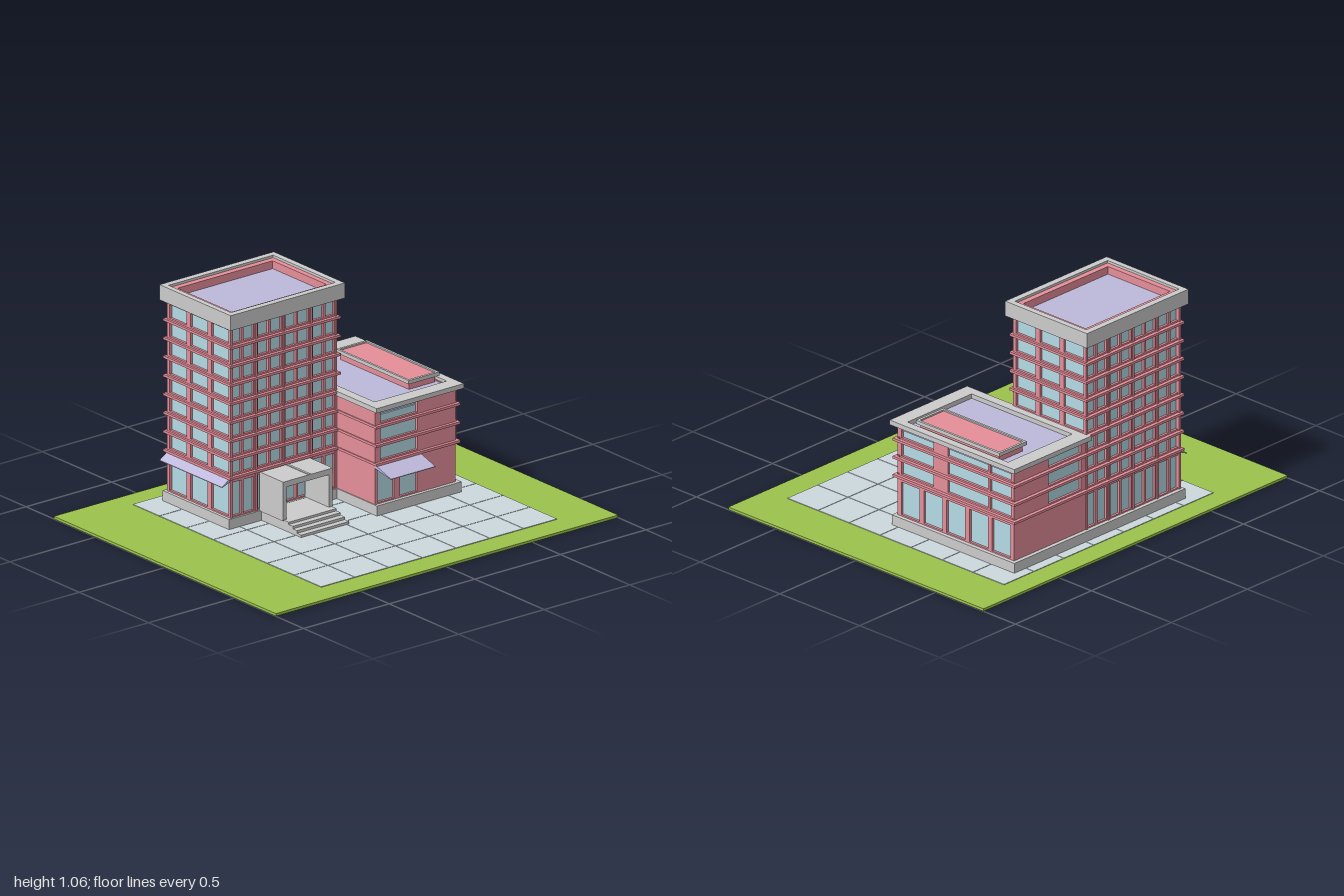
import * as THREE from 'three';

const mat = (color) => new THREE.MeshStandardMaterial({ color });
const PINK = mat(0xe58e99), GLASS = mat(0xb5dbe6), GREY = mat(0xcccccc);
const LILAC = mat(0xbdb8da), GREEN = mat(0x9bc24c), PAVE = mat(0xccd8dd);

const FLOOR = 0.0905, LEDGE0 = 0.262, BASE = 0.062, GROUND = 0.013;

function add(parent, name, geometry, material) {
  const mesh = new THREE.Mesh(geometry, material);
  mesh.name = name;
  parent.add(mesh);
  return mesh;
}

// Box given by its extents on each axis
function box(parent, name, [x0, x1], [y0, y1], [z0, z1], material) {
  const mesh = add(parent, name, new THREE.BoxGeometry(x1 - x0, y1 - y0, z1 - z0), material);
  mesh.position.set((x0 + x1) / 2, (y0 + y1) / 2, (z0 + z1) / 2);
  return mesh;
}

function rectPath(PathType, x0, x1, y0, y1) {
  return new PathType([[x0, y0], [x1, y0], [x1, y1], [x0, y1]].map(([x, y]) => new THREE.Vector2(x, y)));
}

// Rectangular ring lying flat: outer and inner extents, bottom and top height
function ring(parent, name, xo, zo, xi, zi, [y0, y1], material) {
  const shape = rectPath(THREE.Shape, xo[0], xo[1], -zo[1], -zo[0]);
  shape.holes.push(rectPath(THREE.Path, xi[0], xi[1], -zi[1], -zi[0]));
  const geometry = new THREE.ExtrudeGeometry(shape, { depth: y1 - y0, bevelEnabled: false });
  geometry.rotateX(-Math.PI / 2).translate(0, y0, 0);
  return add(parent, name, geometry, material);
}

// Wall with window openings [u0, u1, y0, y1]; u runs rightward seen from outside
function facade(parent, name, width, y0, y1, openings, angle, cx, cz, reach) {
  const depth = 0.014;
  const shape = rectPath(THREE.Shape, -width / 2, width / 2, y0, y1);
  for (const o of openings) shape.holes.push(rectPath(THREE.Path, ...o));
  const geometry = new THREE.ExtrudeGeometry(shape, { depth, bevelEnabled: false });
  geometry.translate(0, 0, reach - depth).rotateY(angle).translate(cx, 0, cz);
  return add(parent, name, geometry, PINK);
}

// Openings for every upper storey from columns of [centre, width]
function storeys(count, columns, first = 0) {
  const list = [];
  for (let i = first; i < count; i++) {
    const y = LEDGE0 + FLOOR * i;
    for (const [c, w] of columns) list.push([c - w / 2, c + w / 2, y + 0.013, y + 0.078]);
  }
  return list;
}

const tall = (columns, top = 0.235) => columns.map(([c, w]) => [c - w / 2, c + w / 2, 0.072, top]);

function makeGround(root) {
  const g = new THREE.Group();
  g.name = 'ground';
  root.add(g);
  box(g, 'lawn', [-0.8, 0.8], [0, GROUND], [-1, 1], GREEN);
  // Paving slabs with narrow grass joints
  const n = 7, dx = 1.36 / n, dz = 1.38 / n, gap = 0.0015;
  for (let i = 0; i < n; i++) for (let j = 0; j < n; j++) {
    const x = -0.69 + i * dx, z = -0.75 + j * dz;
    box(g, 'pavingSlab', [x + gap, x + dx - gap], [GROUND - 0.005, GROUND + 0.003], [z + gap, z + dz - gap], PAVE);
  }
}

function makeTower(root) {
  const g = new THREE.Group();
  g.name = 'tower';
  root.add(g);
  const cx = -0.395, cz = 0.17, hx = 0.225, hz = 0.31, top = 0.995;
  box(g, 'towerPlinth', [-0.64, -0.16], [GROUND, BASE + 0.003], [-0.15, 0.495], GREY);
  box(g, 'towerGlass', [cx - hx + 0.012, cx + hx - 0.012], [BASE, 0.99], [cz - hz + 0.012, cz + hz - 0.012], GLASS);

  // End walls have three wide windows, long walls four pairs of narrow ones
  const ends = [-0.15, 0, 0.15].map((c) => [c, 0.122]);
  const sides = [-0.24, -0.08, 0.08, 0.24].flatMap((c) => [[c - 0.037, 0.06], [c + 0.037, 0.06]]);
  facade(g, 'towerFrontWall', 2 * hx, BASE, top, [...tall(ends), ...storeys(8, ends)], 0, cx, cz, hz);
  facade(g, 'towerBackWall', 2 * hx, BASE, top, storeys(8, ends, 3), Math.PI, cx, cz, hz);
  for (const s of [1, -1]) {
    facade(g, s > 0 ? 'towerLeftWall' : 'towerRightWall', 2 * hz, BASE, top,
      [...tall(sides), ...storeys(8, sides)], s * Math.PI / 2, cx, cz, hx);
  }
  // Ledges at every storey, piers between window bays
  for (let i = 0; i < 8; i++) {
    const y = LEDGE0 + i * FLOOR;
    box(g, 'towerLedge', [-0.638, -0.153], [y - 0.007, y + 0.005], [-0.152, 0.492], PINK);
  }
  for (const c of [-0.305, -0.16, 0, 0.16, 0.305]) for (const s of [-1, 1]) {
    const x = cx + s * hx;
    box(g, 'towerPier', [x - 0.005, x + 0.005], [BASE, top], [cz + c - 0.006, cz + c + 0.006], PINK);
  }
  // Parapet and sunken roof
  ring(g, 'towerParapet', [-0.652, -0.14], [-0.165, 0.502], [-0.62, -0.172], [-0.135, 0.475], [0.988, 1.062], GREY);
  ring(g, 'towerRoofCurb', [-0.622, -0.17], [-0.137, 0.477], [-0.59, -0.2], [-0.108, 0.447], [0.985, 1.05], PINK);
  box(g, 'towerRoof', [-0.6, -0.19], [0.985, 1.012], [-0.12, 0.46], LILAC);
}

function makeWing(root) {
  const g = new THREE.Group();
  g.name = 'wing';
  root.add(g);
  const cx = -0.255, cz = -0.375, hx = 0.365, hz = 0.235, top = 0.525;
  box(g, 'wingPlinth', [-0.64, 0.128], [GROUND, BASE + 0.003], [-0.63, -0.135], GREY);
  box(g, 'wingGlass', [cx - hx + 0.012, cx + hx - 0.012], [BASE, 0.49], [cz - hz + 0.012, cz + hz - 0.012], GLASS);

  const sides = [[-0.097, 0.215], [0.14, 0.2]];
  const back = [[-0.24, 0.2], [0.075, 0.25], [0.28, 0.13]];
  const shop = [-0.285, -0.143, 0, 0.143, 0.285].map((c) => [c, 0.115]);
  const doors = [[-0.175, 0.1], [-0.04, 0.1]];
  facade(g, 'wingFrontWall', 2 * hx, BASE, top, [], 0, cx, cz, hz);
  facade(g, 'wingBackWall', 2 * hx, BASE, top, [...tall(shop), ...storeys(3, back)], Math.PI, cx, cz, hz);
  facade(g, 'wingLeftWall', 2 * hz, BASE, top, [...tall(doors, 0.248), ...storeys(3, sides)], Math.PI / 2, cx, cz, hx);
  facade(g, 'wingRightWall', 2 * hz, BASE, top, storeys(3, sides.map(([c, w]) => [-c, w])), -Math.PI / 2, cx, cz, hx);
  for (let i = 0; i < 3; i++) {
    const y = LEDGE0 + i * FLOOR;
    box(g, 'wingLedge', [-0.638, 0.126], [y - 0.007, y + 0.005], [-0.626, -0.135], PINK);
  }
  // Parapet, sunken roof and rooftop housing
  ring(g, 'wingParapet', [-0.65, 0.132], [-0.64, -0.13], [-0.572, 0.058], [-0.6, -0.178], [0.517, 0.54], GREY);
  box(g, 'wingRoof', [-0.6, 0.09], [0.49, 0.518], [-0.605, -0.16], LILAC);
  box(g, 'roofHouse', [-0.505, -0.012], [0.5, 0.556], [-0.588, -0.435], PINK);
  ring(g, 'roofHouseRim', [-0.52, 0.003], [-0.602, -0.422], [-0.508, -0.01], [-0.59, -0.433], [0.55, 0.568], GREY);
  box(g, 'roofHouseTop', [-0.51, -0.008], [0.55, 0.561], [-0.592, -0.431], PINK);
}

// Sloping wedge canopy: profile in (outward, up), extruded along the wall
function awning(root, name, length, reach, drop, angle, x, y, z) {
  const shape = new THREE.Shape([[0, 0], [0, -0.018], [reach, -drop - 0.003], [reach, -drop]].map((p) => new THREE.Vector2(...p)));
  const geometry = new THREE.ExtrudeGeometry(shape, { depth: length, bevelEnabled: false });
  geometry.translate(0, 0, -length / 2);
  const mesh = add(root, name, geometry, LILAC);
  mesh.rotation.y = angle;
  mesh.position.set(x, y, z);
}

function makePorch(root) {
  const g = new THREE.Group();
  g.name = 'porch';
  root.add(g);
  box(g, 'porchFloor', [-0.17, 0.035], [GROUND, 0.064], [0.025, 0.305], GREY);
  box(g, 'porchRoof', [-0.17, 0.002], [0.222, 0.25], [0.02, 0.31], GREY);
  box(g, 'porchRoofRib', [-0.17, 0.004], [0.25, 0.254], [0.15, 0.162], GREY);
  for (const z of [0.02, 0.288]) box(g, 'porchWall', [-0.17, 0], [0.06, 0.224], [z, z + 0.022], GREY);
  // Steps descending towards the paved court
  [[0.065, 0.053], [0.095, 0.041], [0.125, 0.028]].forEach(([x, y]) =>
    box(g, 'step', [0, x], [GROUND, y], [0.025, 0.305], GREY));
}

export function createModel() {
  const root = new THREE.Group();
  root.name = 'officeBuilding';
  makeGround(root);
  makeTower(root);
  makeWing(root);
  makePorch(root);
  awning(root, 'frontAwning', 0.45, 0.05, 0.034, -Math.PI / 2, -0.395, 0.26, 0.478);
  awning(root, 'wingAwning', 0.26, 0.115, 0.036, 0, 0.108, 0.258, -0.27);
  return root;
}
